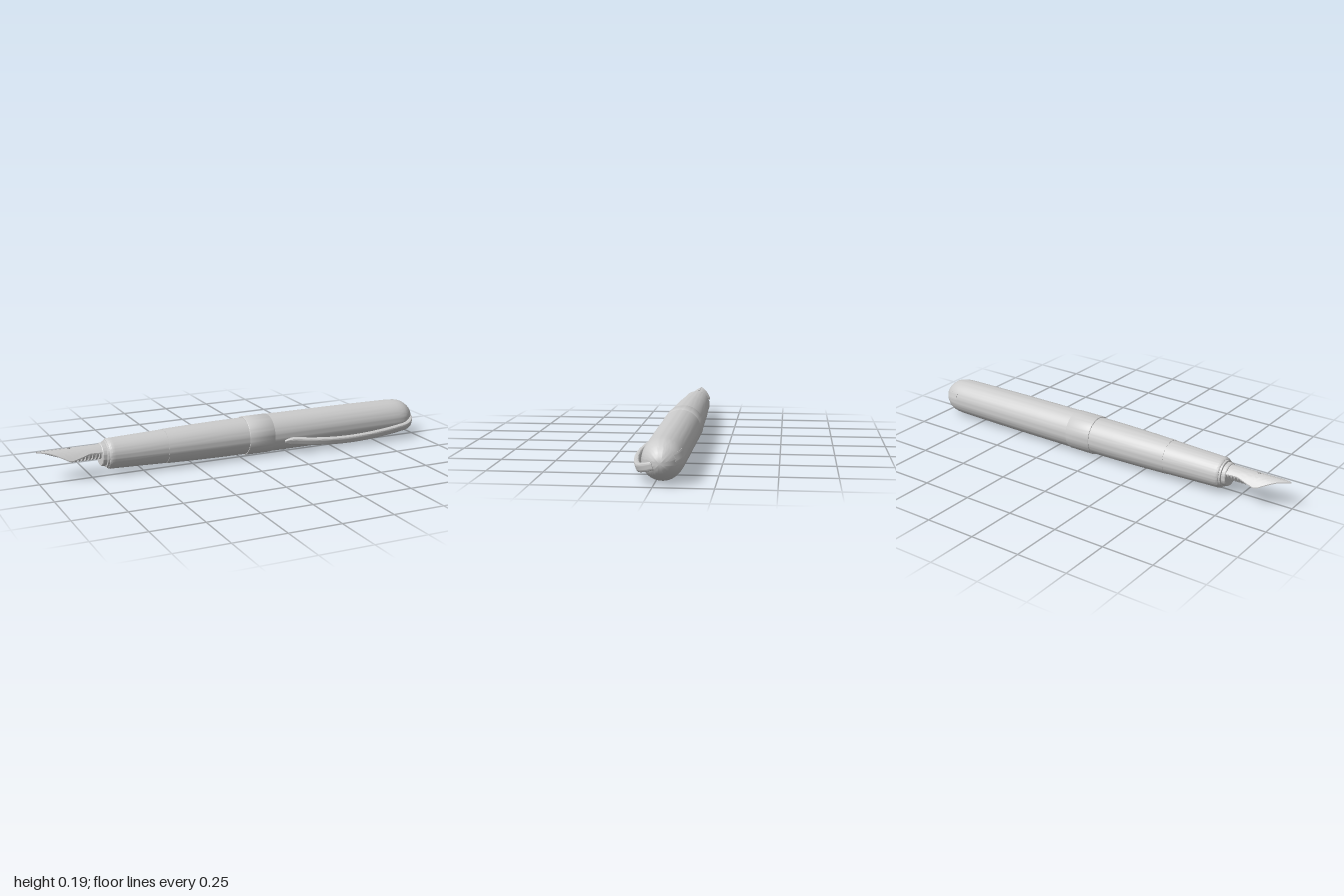
import * as THREE from 'three';
import { toCreasedNormals } from 'three/addons/utils/BufferGeometryUtils.js';

const material = new THREE.MeshStandardMaterial({ color: 0xcccccc });

function addMesh(parent, name, geometry, crease = 0.5) {
  const mesh = new THREE.Mesh(toCreasedNormals(geometry, crease), material);
  mesh.name = name;
  parent.add(mesh);
  return mesh;
}

// Turned part along x from [x, radius] pairs
function turned(parent, name, profile) {
  const points = profile.map(([x, r]) => new THREE.Vector2(r, x));
  return addMesh(parent, name, new THREE.LatheGeometry(points, 72).rotateZ(-Math.PI / 2));
}

// Closed solid through equal-length rings of [x, y, z] points, always facing outward
function loft(rings) {
  const n = rings[0].length, last = (rings.length - 1) * n;
  const pos = rings.flat(2), index = [];
  for (let i = 0; i < rings.length - 1; i++) {
    for (let j = 0; j < n; j++) {
      const a = i * n + j, b = i * n + (j + 1) % n;
      index.push(a, b, b + n, a, b + n, a + n);
    }
  }
  // End faces zip across the ring
  for (let lo = 0, hi = n - 1; lo < hi; lo++, hi--) {
    for (const [base, flip] of [[0, false], [last, true]]) {
      const quad = [[lo, hi, lo + 1], [lo + 1, hi, hi - 1]];
      for (const [a, b, c] of quad) {
        if (a === b || b === c || a === c) continue;
        index.push(base + a, base + (flip ? c : b), base + (flip ? b : c));
      }
    }
  }
  const v = i => new THREE.Vector3().fromArray(pos, i * 3);
  let volume = 0;
  for (let i = 0; i < index.length; i += 3) {
    volume += v(index[i]).dot(v(index[i + 1]).cross(v(index[i + 2])));
  }
  if (volume < 0) index.reverse();
  const g = new THREE.BufferGeometry();
  g.setAttribute('position', new THREE.Float32BufferAttribute(pos, 3));
  g.setIndex(index);
  g.computeVertexNormals();
  return g;
}

// Linear lookup in a table of [x, value]
function lookup(table, x) {
  let i = 0;
  while (i < table.length - 2 && x > table[i + 1][0]) i++;
  const [x0, a] = table[i], [x1, b] = table[i + 1];
  return THREE.MathUtils.lerp(a, b, THREE.MathUtils.clamp((x - x0) / (x1 - x0), 0, 1));
}

function buildNib(pen) {
  const nib = new THREE.Group();
  nib.name = 'nib';
  pen.add(nib);
  const width = [[-1, 0.003], [-0.95, 0.022], [-0.9, 0.045], [-0.865, 0.059], [-0.845, 0.061],
    [-0.81, 0.056], [-0.76, 0.046], [-0.73, 0.046], [-0.66, 0.05]];
  const holeX = -0.845, holeR = 0.009, steps = 68, across = 8;
  const arch = z => 0.05 - 12 * z * z;
  // Two mirrored tines; the inner edge leaves the slit and breather hole
  for (const side of [1, -1]) {
    const rings = [];
    for (let i = 0; i <= steps; i++) {
      const x = -1 + 0.34 * i / steps;
      const slit = x < holeX ? 0.001 : 0;
      const inner = Math.max(slit, Math.sqrt(Math.max(0, holeR ** 2 - (x - holeX) ** 2)));
      const outer = lookup(width, x), top = [], under = [];
      for (let j = 0; j <= across; j++) {
        const z = inner + (outer - inner) * j / across;
        top.push([x, arch(z), side * z]);
        under.unshift([x, arch(z) - 0.005, side * z]);
      }
      rings.push([...top, ...under]);
    }
    addMesh(nib, side > 0 ? 'leftTine' : 'rightTine', loft(rings), 0.6);
  }

  // Feed core tapering toward the tip
  const core = [[-0.96, 0.004, 0.036, 0.041], [-0.85, 0.03, -0.004, 0.036],
    [-0.66, 0.03, -0.006, 0.036]];
  addMesh(nib, 'feedCore', loft(core.map(([x, w, low, high]) => [
    [x, high, -w * 0.6], [x, high, w * 0.6], [x, (low + high) / 2, w],
    [x, low, w * 0.6], [x, low, -w * 0.6], [x, (low + high) / 2, -w]])), 0.4);

  // Comb fins below the nib
  const fin = new THREE.Shape();
  fin.moveTo(-0.042, 0.024);
  fin.lineTo(0.042, 0.024);
  fin.bezierCurveTo(0.042, -0.005, 0.025, -0.018, 0, -0.018);
  fin.bezierCurveTo(-0.025, -0.018, -0.042, -0.005, -0.042, 0.024);
  for (let i = 0; i < 9; i++) {
    const g = new THREE.ExtrudeGeometry(fin, { depth: 0.008, bevelEnabled: false, curveSegments: 8 });
    addMesh(nib, 'feedFin', g.rotateY(Math.PI / 2)).position.x = -0.845 + i * 0.0165;
  }
}

function buildClip(pen) {
  const group = new THREE.Group();
  group.name = 'clipAssembly';
  group.rotation.x = THREE.MathUtils.degToRad(108);
  pen.add(group);

  // Bowed clip with a rounded section
  const path = new THREE.CatmullRomCurve3([[0.98, 0.03], [0.968, 0.06], [0.93, 0.094],
    [0.86, 0.113], [0.78, 0.127], [0.67, 0.14], [0.56, 0.145], [0.45, 0.138],
    [0.355, 0.122], [0.28, 0.103], [0.22, 0.09]].map(([x, y]) => new THREE.Vector3(x, y, 0)));
  const rings = [], steps = 60, sides = 24;
  for (let i = 0; i <= steps; i++) {
    const t = i / steps, p = path.getPointAt(t), d = path.getTangentAt(t);
    const end = Math.sqrt(Math.min(1, (1 - t) * 18 + 0.12));
    const ring = [];
    for (let j = 0; j < sides; j++) {
      const a = (j + 0.5) / sides * Math.PI * 2;
      const power = v => Math.sign(v) * Math.abs(v) ** 0.5;
      const w = 0.0185 * end * power(Math.cos(a)), h = 0.012 * power(Math.sin(a));
      ring.push([p.x + d.y * h, p.y - d.x * h, w]);
    }
    rings.push(ring);
  }
  addMesh(group, 'clip', loft(rings), 0.7);

  // Small tab hugging the cap on the side opposite the clip
  const tab = [[0.882, 0.0893], [0.905, 0.0878], [0.925, 0.0838], [0.94, 0.0785],
    [0.953, 0.0705], [0.965, 0.06]];
  const tabRings = tab.map(([x, r]) => {
    const outer = [], inner = [];
    for (let j = -4; j <= 4; j++) {
      const z = j * 0.005;
      outer.push([x, -Math.sqrt((r + 0.0015) ** 2 - z * z), z]);
      inner.unshift([x, -Math.sqrt((r - 0.008) ** 2 - z * z), z]);
    }
    return [...outer, ...inner];
  });
  addMesh(group, 'clipTab', loft(tabRings));
}

export function createModel() {
  const model = new THREE.Group();
  model.name = 'fountainPen';
  const pen = new THREE.Group();
  pen.name = 'pen';
  pen.position.set(0, 0.096, -0.031);
  model.add(pen);

  turned(pen, 'collar', [[-0.702, 0], [-0.702, 0.052], [-0.698, 0.055], [-0.682, 0.055],
    [-0.68, 0.062], [-0.672, 0.064], [-0.668, 0.06], [-0.65, 0.06]]);
  turned(pen, 'grip', [[-0.672, 0.05], [-0.672, 0.066], [-0.668, 0.07], [-0.66, 0.0725],
    [-0.645, 0.0725], [-0.55, 0.0755], [-0.385, 0.081], [-0.385, 0.07]]);
  turned(pen, 'barrel', [[-0.385, 0.07], [-0.385, 0.0825], [-0.25, 0.0865], [-0.1, 0.0895],
    [0.04, 0.0905]]);
  turned(pen, 'capBand', [[0.03, 0.085], [0.03, 0.0935], [0.034, 0.0955], [0.161, 0.0955],
    [0.165, 0.0935], [0.165, 0.085]]);
  turned(pen, 'cap', [[0.16, 0.0935], [0.35, 0.0935], [0.55, 0.093], [0.72, 0.0915],
    [0.85, 0.09], [0.885, 0.0888], [0.91, 0.0865], [0.93, 0.082], [0.945, 0.0755], [0.957, 0.067]]);
  turned(pen, 'finial', [[0.95, 0.064], [0.957, 0.067], [0.97, 0.057], [0.982, 0.044],
    [0.991, 0.03], [0.997, 0.015], [0.999, 0]]);

  buildNib(pen);
  buildClip(pen);
  return model;
}
